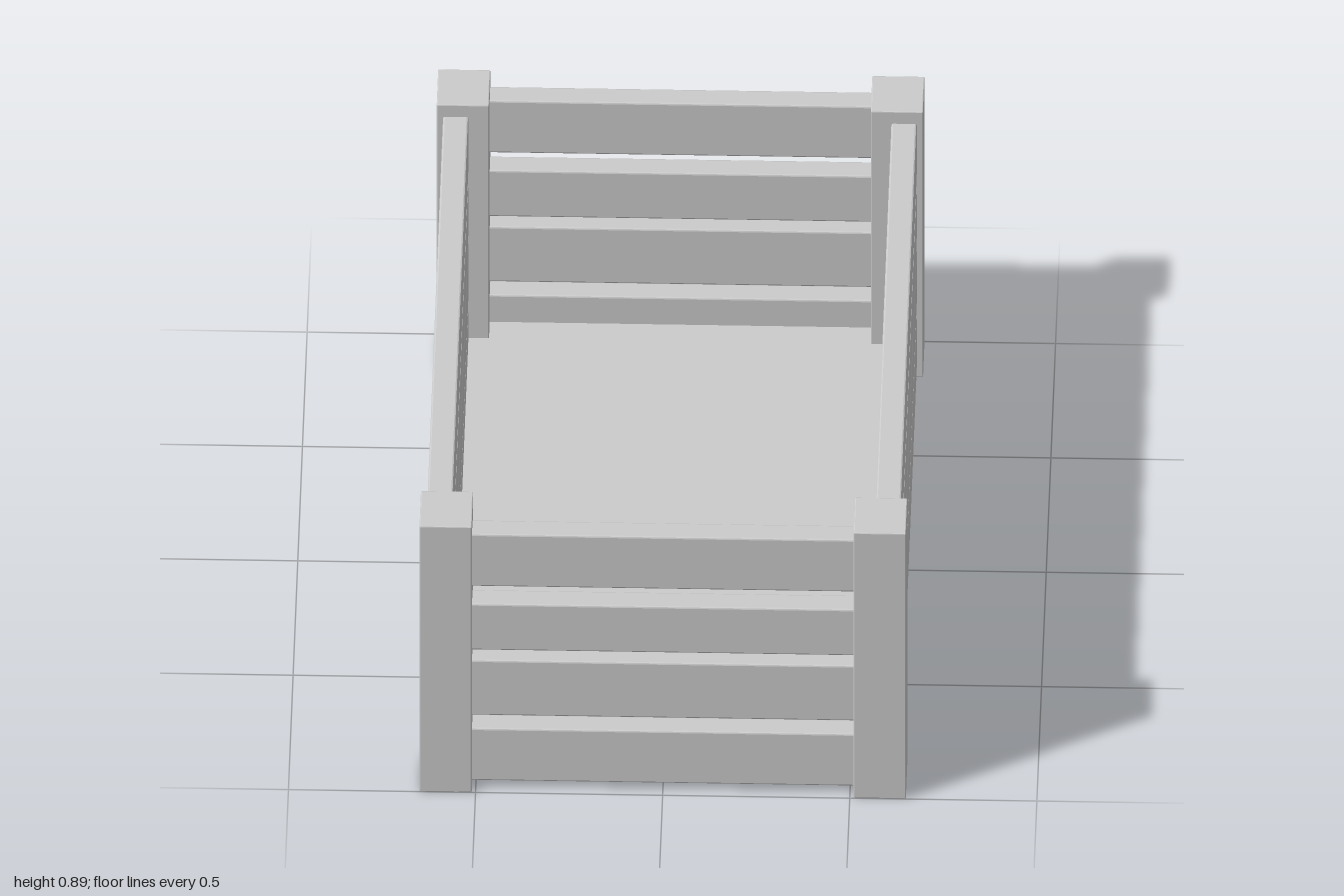
import * as THREE from 'three';
import { RoundedBoxGeometry } from 'three/addons/geometries/RoundedBoxGeometry.js';

export function createModel() {
  const crate = new THREE.Group();
  crate.name = 'slattedCrate';
  const wood = new THREE.MeshStandardMaterial({ color: 0xcccccc, flatShading: true });

  // Board with slightly eased edges, given by its min and max corners
  function board(name, [x0, y0, z0], [x1, y1, z1], ease = 0.005) {
    const geometry = new RoundedBoxGeometry(x1 - x0, y1 - y0, z1 - z0, 1, ease);
    const mesh = new THREE.Mesh(geometry, wood);
    mesh.name = name;
    mesh.position.set((x0 + x1) / 2, (y0 + y1) / 2, (z0 + z1) / 2);
    crate.add(mesh);
  }

  // Corner posts
  const post = { x0: 0.51, x1: 0.65, z0: 0.843, z1: 1, h: 0.895 };
  for (const [side, sx] of [['Left', 1], ['Right', -1]]) {
    for (const [end, sz] of [['front', 1], ['back', -1]]) {
      const xs = [sx * post.x0, sx * post.x1].sort((a, b) => a - b);
      const zs = [sz * post.z0, sz * post.z1].sort((a, b) => a - b);
      board(`${end}${side}Post`, [xs[0], 0, zs[0]], [xs[1], post.h, zs[1]], 0.003);
    }
  }

  // Four rows of slats around the crate, ends let into the posts
  const rows = [[0.025, 0.2], [0.245, 0.43], [0.465, 0.62], [0.68, 0.855]];
  const letIn = 0.02;
  const ex = post.x0 + letIn, ez = post.z0 + letIn;
  rows.forEach(([y0, y1], i) => {
    board(`frontSlat${i + 1}`, [-ex, y0, 0.915], [ex, y1, 0.98]);
    board(`backSlat${i + 1}`, [-ex, y0, -0.98], [ex, y1, -0.915]);
    board(`leftSlat${i + 1}`, [0.565, y0, -ez], [0.633, y1, ez]);
    board(`rightSlat${i + 1}`, [-0.633, y0, -ez], [-0.565, y1, ez]);
  });

  // Floor panel between the lowest slats
  board('floor', [-0.575, 0.025, -0.925], [0.575, 0.11, 0.925], 0.003);

  return crate;
}
